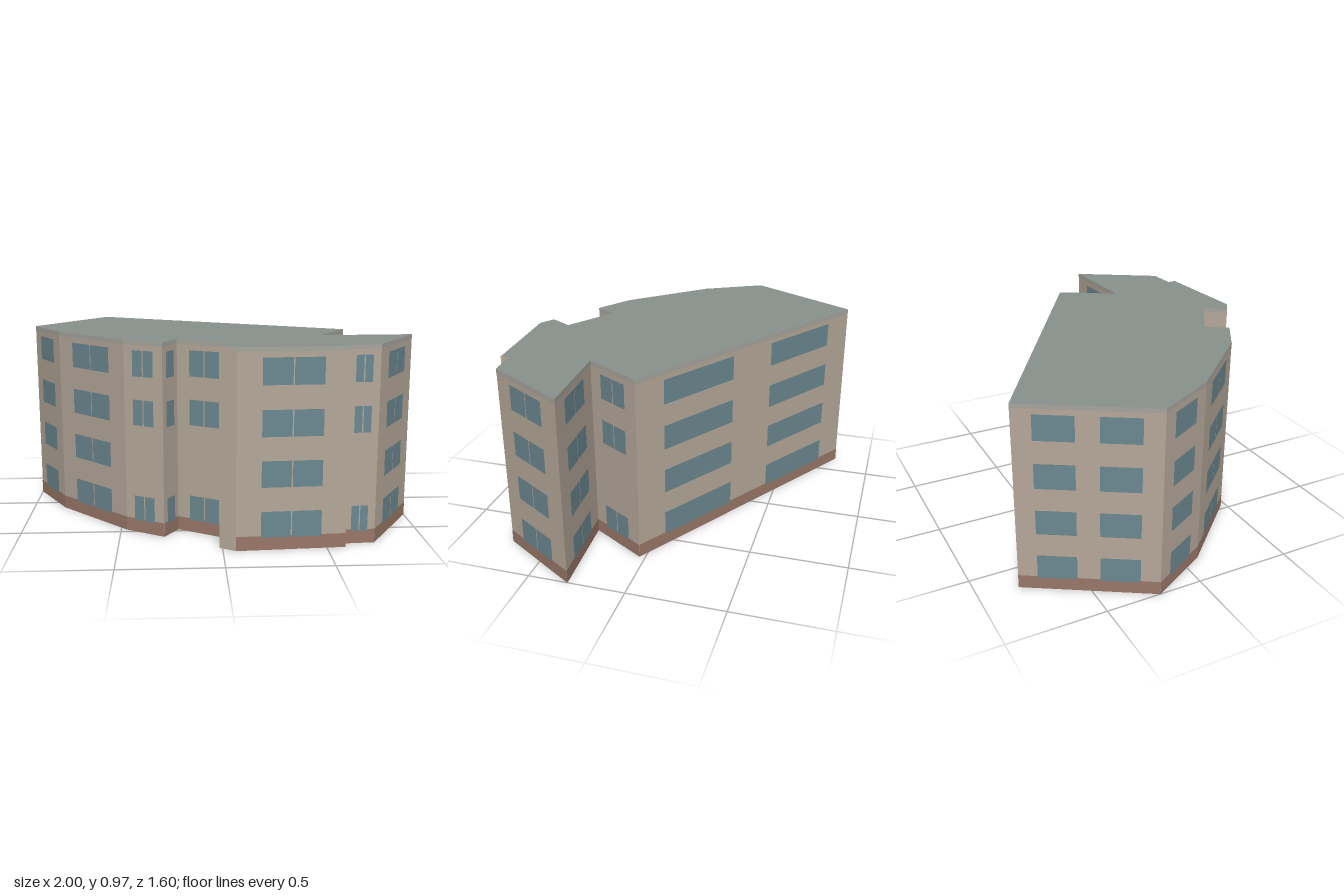
import * as THREE from 'three';

const HEIGHT = 0.97, PLINTH = 0.07, TRIM = 0.022;
const ROWS = [0.062, 0.308, 0.551, 0.794];
const WINDOW_HEIGHT = 0.128, MULLION = 0.006;
const ALL = [0, 1, 2, 3], NO_FIRST = [0, 2, 3];

// Each facade starts at (x, z) and runs to the next corner.
// windows: [start, end] fractions of the facade; rows: storeys that have them
const one = [[0.24, 0.77]];
const FACADES = [
  { x: -0.65, z: -0.80, windows: [[0.11, 0.41], [0.59, 0.89]], rows: ALL },
  { x: 0.695, z: 0.03, windows: one, rows: NO_FIRST, split: true },
  { x: 0.52, z: 0.32, windows: one, rows: ALL, split: true },
  { x: 1.0, z: 0.295, windows: one, rows: ALL, split: true },
  { x: 0.742, z: 0.71, windows: one, rows: NO_FIRST, split: true },
  { x: 0.588, z: 0.72, bare: true },
  { x: 0.59, z: 0.765, windows: [[0.226, 0.774]], rows: ALL, split: true },
  { x: 0.06, z: 0.797, bare: true },
  { x: -0.015, z: 0.75 },
  { x: 0.055, z: 0.635, windows: one, rows: NO_FIRST, split: true },
  { x: -0.21, z: 0.475, windows: one, rows: NO_FIRST },
  { x: -0.28, z: 0.585, windows: one, rows: NO_FIRST, split: true },
  { x: -0.47, z: 0.47, windows: [[0.22, 0.78]], rows: ALL, split: true },
  { x: -0.83, z: 0.09, windows: one, rows: ALL },
  { x: -1.0, z: -0.22, windows: [[0.14, 0.42], [0.58, 0.86]], rows: ALL },
];

const paint = (color, side = THREE.FrontSide) =>
  new THREE.MeshStandardMaterial({ color, side });

export function createModel() {
  const building = new THREE.Group();
  building.name = 'apartmentBuilding';
  const wallMat = paint(0xb5a899, THREE.DoubleSide);
  const roofMat = paint(0x88918c, THREE.DoubleSide);
  const plinthMat = paint(0x997768);
  const trimMat = paint(0xa6a59d);
  const glassMat = paint(0x6c8890);

  FACADES.forEach((f, i) => {
    const next = FACADES[(i + 1) % FACADES.length];
    const dx = next.x - f.x, dz = next.z - f.z;
    const length = Math.hypot(dx, dz);

    // Facade space: x runs from the far corner to the start corner, z is outward
    const facade = new THREE.Group();
    facade.name = `facade${i + 1}`;
    facade.position.set((f.x + next.x) / 2, 0, (f.z + next.z) / 2);
    facade.rotation.y = Math.atan2(dz, -dx);
    building.add(facade);

    const panel = (name, mat, t0, t1, y0, y1, offset) => {
      const mesh = new THREE.Mesh(
        new THREE.PlaneGeometry((t1 - t0) * length, y1 - y0), mat);
      mesh.position.set((0.5 - (t0 + t1) / 2) * length, (y0 + y1) / 2, offset);
      mesh.name = name;
      facade.add(mesh);
    };

    panel('wall', wallMat, 0, 1, 0, HEIGHT, 0);
    if (!f.bare) {
      panel('plinth', plinthMat, 0, 1, 0, PLINTH, 0.001);
      panel('roofTrim', trimMat, 0, 1, HEIGHT - TRIM, HEIGHT, 0.001);
    }

    // Windows, with a narrow strip of wall between paired panes
    for (const [a, b] of f.windows ?? []) {
      const mid = (a + b) / 2, gap = MULLION / 2 / length;
      const panes = f.split ? [[a, mid - gap], [mid + gap, b]] : [[a, b]];
      for (const row of f.rows)
        for (const [t0, t1] of panes)
          panel('window', glassMat, t0, t1, ROWS[row], ROWS[row] + WINDOW_HEIGHT, 0.002);
    }
  });

  // Flat roof following the footprint
  const outline = new THREE.Shape(FACADES.map(f => new THREE.Vector2(f.x, -f.z)));
  const roof = new THREE.Mesh(new THREE.ShapeGeometry(outline).rotateX(-Math.PI / 2), roofMat);
  roof.position.y = HEIGHT;
  roof.name = 'roof';
  building.add(roof);

  return building;
}
